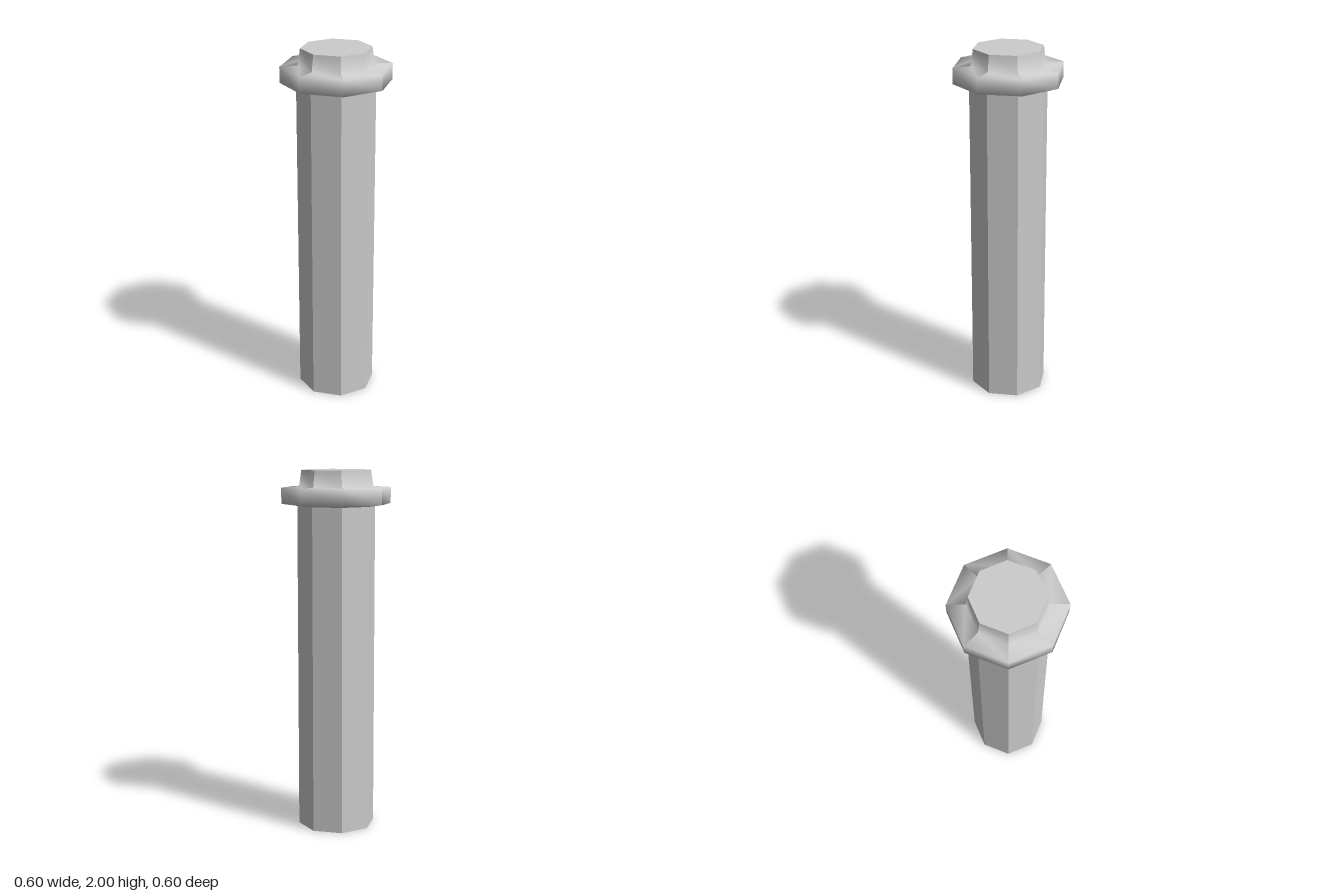
import * as THREE from 'three';
import { mergeGeometries } from 'three/addons/utils/BufferGeometryUtils.js';

const SIDES = 8;
const STEP = (Math.PI * 2) / SIDES;

// Faceted turning: hard edges between the sides, smooth along the profile
function facetedLathe(profile) {
  const points = profile.map(([r, y]) => new THREE.Vector2(r, y));
  const strips = [];
  for (let i = 0; i < SIDES; i++) {
    const strip = new THREE.LatheGeometry(points, 1, i * STEP, STEP);
    strip.computeVertexNormals();
    strips.push(strip);
  }
  return mergeGeometries(strips);
}

export function createModel() {
  const group = new THREE.Group();
  group.name = 'post';
  const flat = new THREE.MeshStandardMaterial({ color: 0xcccccc, flatShading: true });
  const smooth = new THREE.MeshStandardMaterial({ color: 0xcccccc });

  const add = (name, geometry, material, y = 0) => {
    const mesh = new THREE.Mesh(geometry, material);
    mesh.name = name;
    mesh.position.y = y;
    group.add(mesh);
  };

  // Octagonal shaft with a corner facing the front
  const shaftTop = 1.806;
  add('shaft', new THREE.CylinderGeometry(0.215, 0.215, shaftTop, SIDES), flat, shaftTop / 2);

  // Collar and the neck above it
  add('collar', facetedLathe([
    [0.215, shaftTop], [0.302, 1.818], [0.302, 1.905], [0.205, 1.91], [0.192, 2],
  ]), smooth);

  // Flat top
  add('topCap', new THREE.CircleGeometry(0.192, SIDES).rotateX(-Math.PI / 2), flat, 2);

  return group;
}
